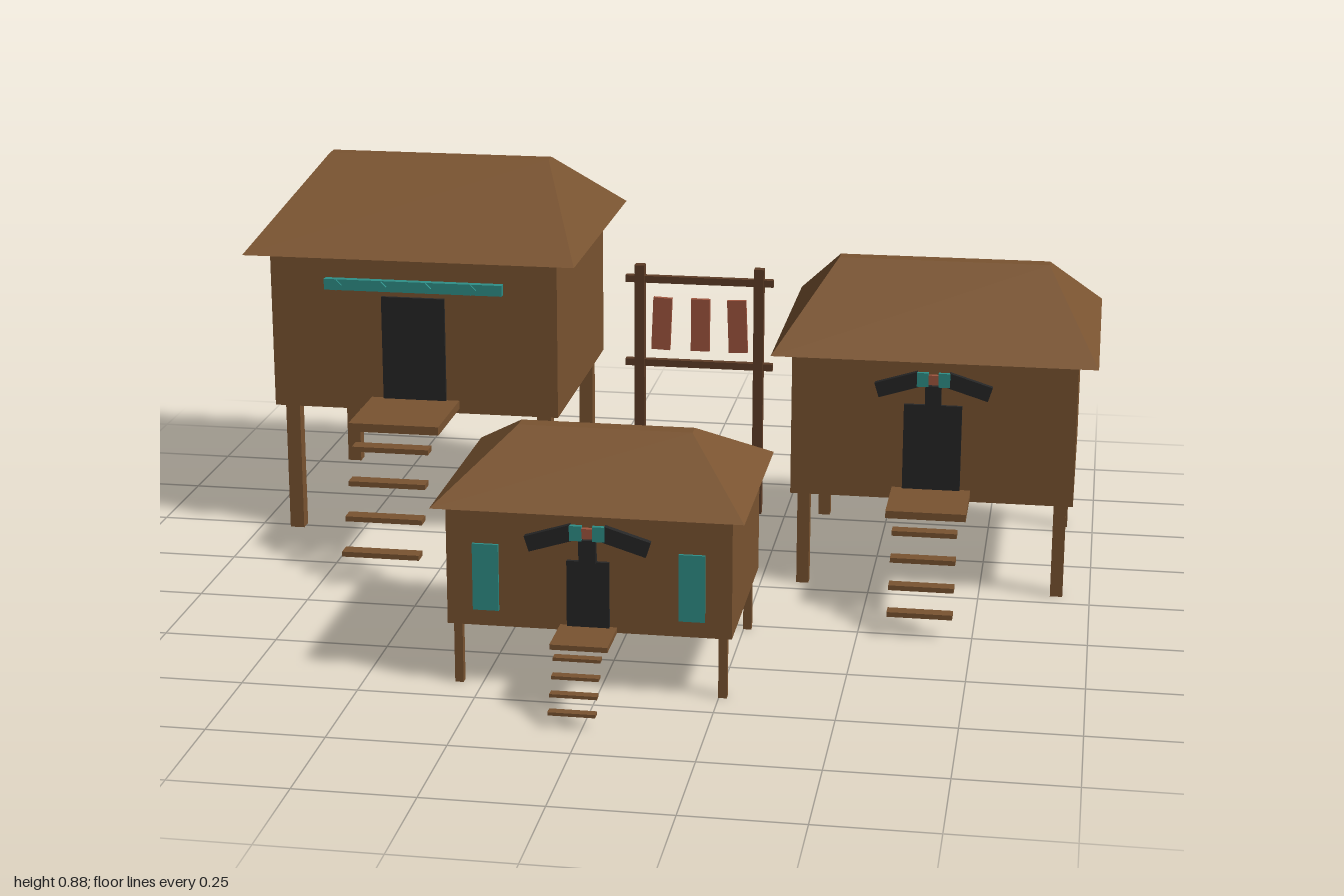
import * as THREE from 'three';

const material = (name, color) => {
  const m = new THREE.MeshStandardMaterial({ color });
  m.name = name;
  return m;
};

export function createModel() {
  const wood = material('brown wood', 0x7a5431);
  const darkWood = material('dark wood', 0x5e3d27);
  const black = material('black', 0x262626);
  const teal = material('teal', 0x2f8f88);
  const hide = material('red hide', 0xa0563f);

  const village = new THREE.Group();
  village.name = 'stiltVillage';

  function addBox(parent, name, mat, size, pos, tilt = 0) {
    const mesh = new THREE.Mesh(new THREE.BoxGeometry(...size), mat);
    mesh.name = name;
    mesh.position.set(...pos);
    mesh.rotation.z = tilt;
    parent.add(mesh);
    return mesh;
  }

  // Hipped roof: a box whose top face is drawn in to a narrow ridge
  function addRoof(parent, w, d, eave, ridge, ridgeW) {
    const geo = new THREE.BoxGeometry(w, ridge - eave, d);
    const p = geo.attributes.position;
    for (let i = 0; i < p.count; i++) {
      if (p.getY(i) > 0) {
        p.setX(i, Math.sign(p.getX(i)) * ridgeW / 2);
        p.setZ(i, Math.sign(p.getZ(i)) * 0.018);
      }
    }
    geo.computeVertexNormals();
    const roof = new THREE.Mesh(geo, wood);
    roof.name = 'roof';
    roof.position.y = (eave + ridge) / 2;
    parent.add(roof);
  }

  // Stilt house, centred on its own origin
  function addHouse(h) {
    const g = new THREE.Group();
    g.name = h.name;
    g.position.set(h.x, 0, h.z);
    village.add(g);
    const front = h.wallD / 2;

    addRoof(g, h.roofW, h.roofD, h.eave, h.ridge, h.ridgeW);
    addBox(g, 'walls', wood, [h.wallW, h.eave - h.floor, h.wallD], [0, (h.eave + h.floor) / 2, 0]);
    for (const sx of [-1, 1]) {
      for (const sz of [-1, 1]) {
        addBox(g, 'stilt', wood, [h.leg, h.floor, h.leg], [sx * h.legX, h.floor / 2, sz * h.legZ]);
      }
    }

    // Door, porch and floating stair treads
    addBox(g, 'door', black, [h.doorW, h.doorTop - h.porchY, 0.012],
      [0, (h.doorTop + h.porchY) / 2, front + 0.002]);
    const porchEnd = h.porchEnd - h.z;
    addBox(g, 'porch', wood, [h.porchW, h.porchT, porchEnd - front + 0.01],
      [0, h.porchY - h.porchT / 2, (porchEnd + front - 0.01) / 2]);
    h.steps.forEach((y, i) => {
      addBox(g, 'stairTread', wood, [h.stepW, h.stepT, h.stepD],
        [0, y, porchEnd + (i + 0.5) * h.stepD]);
    });
    return g;
  }

  // Horned ornament over a door
  function addOrnament(g, y, z) {
    const o = new THREE.Group();
    o.name = 'doorOrnament';
    o.position.set(0, y, z);
    g.add(o);
    for (const s of [-1, 1]) {
      addBox(o, 'horn', black, [0.1, 0.034, 0.014], [s * 0.079, -0.014, 0.004], -s * 0.3);
      addBox(o, 'tealPlate', teal, [0.026, 0.032, 0.01], [s * 0.024, 0, 0.008]);
    }
    addBox(o, 'redPlate', hide, [0.022, 0.022, 0.01], [0, 0, 0.008]);
    addBox(o, 'snout', black, [0.036, 0.05, 0.014], [0, -0.04, 0.004]);
  }

  const large = addHouse({
    name: 'largeHouse', x: -0.604, z: -0.52, roofW: 0.793, roofD: 0.72, eave: 0.695, ridge: 0.875,
    ridgeW: 0.543, wallW: 0.69, wallD: 0.61, floor: 0.315, leg: 0.034, legX: 0.308, legZ: 0.27,
    doorW: 0.152, doorTop: 0.595, porchW: 0.213, porchY: 0.346, porchT: 0.02, porchEnd: 0.002,
    stepW: 0.18, stepT: 0.012, stepD: 0.0365, steps: [0.295, 0.223, 0.15, 0.077],
  });
  const medium = addHouse({
    name: 'mediumHouse', x: 0.635, z: -0.302, roofW: 0.726, roofD: 0.635, eave: 0.555, ridge: 0.715,
    ridgeW: 0.482, wallW: 0.638, wallD: 0.552, floor: 0.222, leg: 0.028, legX: 0.29, legZ: 0.245,
    doorW: 0.13, doorTop: 0.447, porchW: 0.177, porchY: 0.249, porchT: 0.017, porchEnd: 0.146,
    stepW: 0.143, stepT: 0.011, stepD: 0.0305, steps: [0.208, 0.156, 0.103, 0.052],
  });
  const small = addHouse({
    name: 'smallHouse', x: -0.021, z: 0.463, roofW: 0.653, roofD: 0.495, eave: 0.395, ridge: 0.513,
    ridgeW: 0.372, wallW: 0.598, wallD: 0.437, floor: 0.135, leg: 0.018, legX: 0.279, legZ: 0.199,
    doorW: 0.089, doorTop: 0.29, porchW: 0.12, porchY: 0.147, porchT: 0.011, porchEnd: 0.798,
    stepW: 0.098, stepT: 0.007, stepD: 0.0205, steps: [0.124, 0.092, 0.061, 0.03],
  });

  // Teal beam with studs over the large house door
  addBox(large, 'tealBeam', teal, [0.428, 0.026, 0.02], [0.003, 0.623, 0.313]);
  for (let i = 0; i < 4; i++) {
    addBox(large, 'beamStud', teal, [0.018, 0.018, 0.008], [-0.18 + i * 0.108, 0.623, 0.325], Math.PI / 4);
  }

  // Ornaments and painted side panels
  addOrnament(medium, 0.508, 0.28);
  addOrnament(small, 0.353, 0.222);
  for (const s of [-1, 1]) {
    addBox(small, 'tealPanel', teal, [0.055, 0.145, 0.009], [s * 0.216, 0.243, 0.22]);
  }

  // Drying rack with hanging hides
  const rack = new THREE.Group();
  rack.name = 'dryingRack';
  rack.position.set(0.033, 0, -0.522);
  village.add(rack);
  for (const s of [-1, 1]) {
    addBox(rack, 'rackPost', darkWood, [0.024, 0.62, 0.024], [s * 0.146, 0.31, 0]);
  }
  for (const y of [0.585, 0.375]) {
    addBox(rack, 'rackBar', darkWood, [0.362, 0.017, 0.017], [0, y, 0]);
  }
  [-0.092, 0.003, 0.094].forEach((x, i) => {
    addBox(rack, 'hangingHide', hide, [0.046, 0.13, 0.012], [x, 0.474, 0], (i - 1) * 0.04);
  });

  return village;
}
